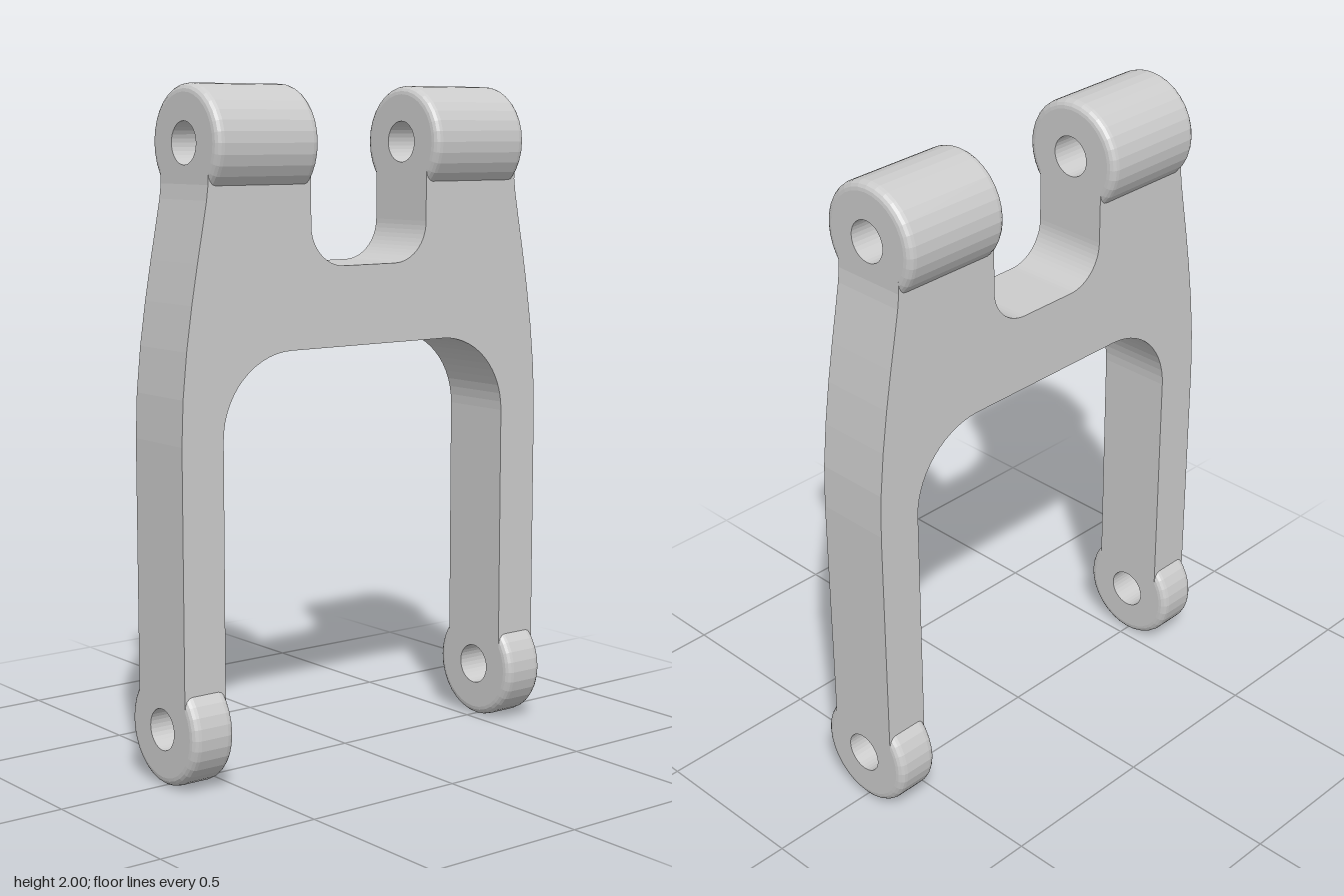
import * as THREE from 'three';

const material = new THREE.MeshStandardMaterial({ color: 0xcccccc, flatShading: true });
const R = 0.166, HOLE = 0.061, FILLET = 0.025;

// Pierced round boss lying along z, with rounded rims
function boss(name, length, y, z) {
  const h = length / 2;
  const profile = [new THREE.Vector2(HOLE, -h)];
  for (const end of [-1, 1]) {
    for (let i = 0; i <= 4; i++) {
      const a = (end < 0 ? i - 4 : i) * Math.PI / 8;
      profile.push(new THREE.Vector2(
        R - FILLET + FILLET * Math.cos(a),
        end * (h - FILLET) + FILLET * Math.sin(a)));
    }
  }
  profile.push(new THREE.Vector2(HOLE, h), new THREE.Vector2(HOLE, -h));
  const geometry = new THREE.LatheGeometry(profile, 32);
  geometry.rotateX(Math.PI / 2);
  const mesh = new THREE.Mesh(geometry, material);
  mesh.name = name;
  mesh.position.set(0, y, z);
  return mesh;
}

// H-shaped side outline, drawn in (z, y) and extruded across x
function frame() {
  const foot = 0.245, head = 1.76, width = 0.236;
  const s = new THREE.Shape();
  s.moveTo(0.525, foot);
  s.lineTo(0.665, foot);
  s.lineTo(0.665, 1.0);
  s.bezierCurveTo(0.665, 1.3, 0.57, 1.66, 0.57, 1.72);
  s.lineTo(0.57, head);
  s.lineTo(0.215, head);
  // upper notch
  s.lineTo(0.215, 1.6);
  s.absarc(0.095, 1.6, 0.12, 0, -Math.PI / 2, true);
  s.absarc(-0.095, 1.6, 0.12, -Math.PI / 2, -Math.PI, true);
  s.lineTo(-0.215, head);
  s.lineTo(-0.57, head);
  s.lineTo(-0.57, 1.72);
  s.bezierCurveTo(-0.57, 1.66, -0.665, 1.3, -0.665, 1.0);
  s.lineTo(-0.665, foot);
  s.lineTo(-0.525, foot);
  // arch between the legs
  s.lineTo(-0.525, 1.005);
  s.absarc(-0.285, 1.005, 0.24, Math.PI, Math.PI / 2, true);
  s.absarc(0.285, 1.005, 0.24, Math.PI / 2, 0, true);
  s.lineTo(0.525, foot);

  const geometry = new THREE.ExtrudeGeometry(s, { depth: width, bevelEnabled: false, curveSegments: 7 });
  geometry.translate(0, 0, -width / 2);
  geometry.rotateY(-Math.PI / 2);
  const mesh = new THREE.Mesh(geometry, material);
  mesh.name = 'frame';
  return mesh;
}

export function createModel() {
  const group = new THREE.Group();
  group.name = 'linkArm';
  group.add(frame());
  for (const [side, sign] of [['front', 1], ['back', -1]]) {
    group.add(boss(side + 'UpperBoss', 0.355, 1.834, sign * 0.3925));
    group.add(boss(side + 'LowerBoss', 0.14, 0.17, sign * 0.595));
  }
  return group;
}
